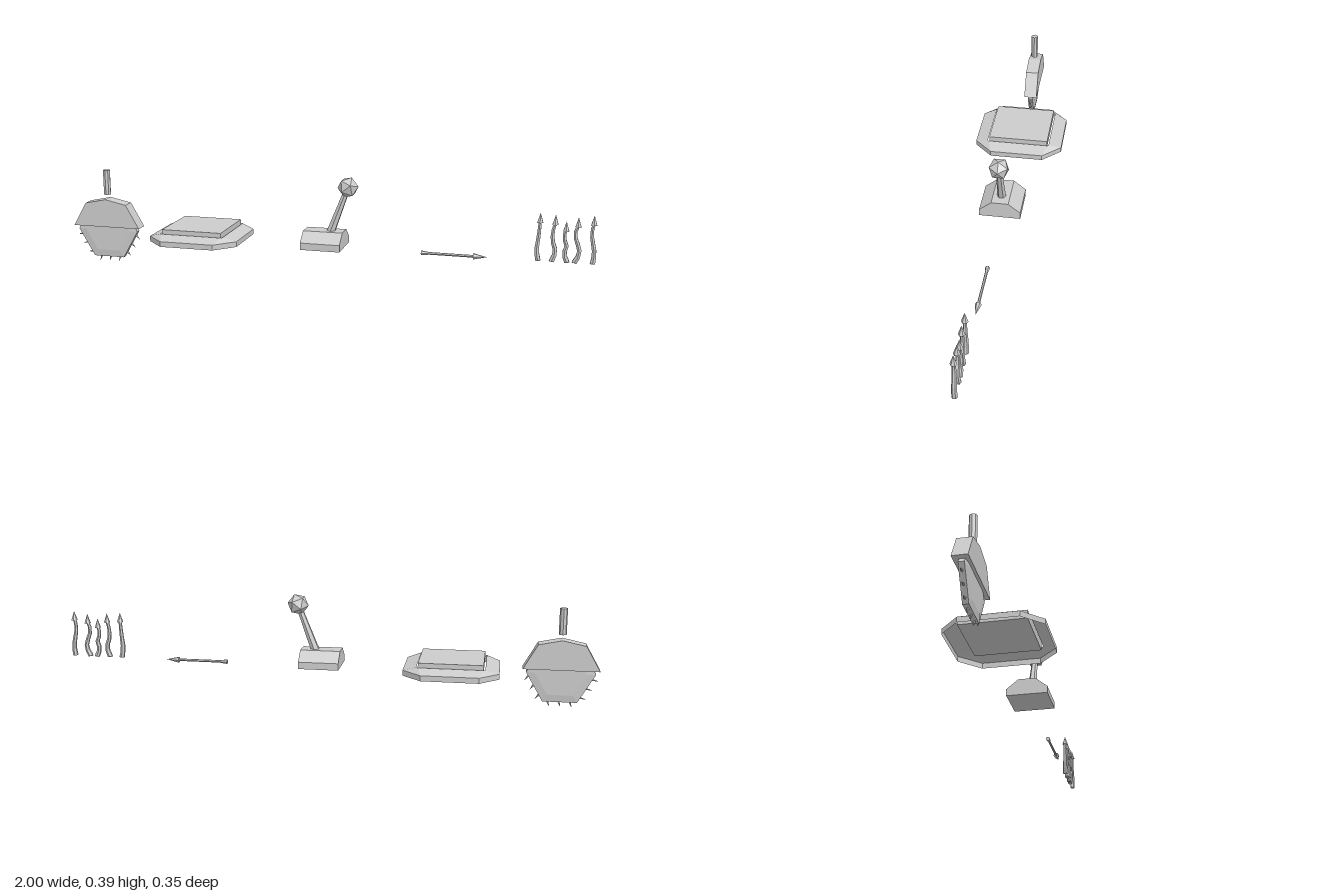
import * as THREE from 'three';

const material = new THREE.MeshStandardMaterial({ color: 0xcccccc, flatShading: true, side: THREE.DoubleSide });

function add(parent, name, geometry, x = 0, y = 0, z = 0) {
  const mesh = new THREE.Mesh(geometry, material);
  mesh.name = name;
  mesh.position.set(x, y, z);
  parent.add(mesh);
  return mesh;
}

function group(parent, name, x, y, z) {
  const g = new THREE.Group();
  g.name = name;
  g.position.set(x, y, z);
  parent.add(g);
  return g;
}

// Extrudes an outline of [x, y] points, centred on its depth
function prism(points, depth) {
  const shape = new THREE.Shape(points.map(([x, y]) => new THREE.Vector2(x, y)));
  return new THREE.ExtrudeGeometry(shape, { depth, bevelEnabled: false }).translate(0, 0, -depth / 2);
}

// Skins matching rings of points into a surface
function loft(rings) {
  const n = rings[0].length;
  const index = [];
  for (let r = 0; r < rings.length - 1; r++) {
    for (let i = 0; i < n; i++) {
      const a = r * n + i, b = r * n + (i + 1) % n;
      index.push(a, a + n, b, b, a + n, b + n);
    }
  }
  const g = new THREE.BufferGeometry();
  g.setAttribute('position', new THREE.Float32BufferAttribute(rings.flat(2), 3));
  g.setIndex(index);
  g.computeVertexNormals();
  return g;
}

function buildSaw(root) {
  const saw = group(root, 'sawTrap', -0.863, 0.135, 0);
  // Hexagonal blade with a bevelled rim
  const profile = [[0, -0.014], [0.093, -0.014], [0.124, -0.01], [0.124, 0.01], [0.093, 0.014], [0, 0.014]];
  const blade = new THREE.LatheGeometry(profile.map(([r, y]) => new THREE.Vector2(r, y)), 6);
  blade.rotateY(Math.PI / 6).rotateX(Math.PI / 2).rotateZ(Math.PI / 6);
  // Turn so that a flat edge points down
  blade.computeBoundingBox();
  if (blade.boundingBox.max.y > 0.115) blade.rotateZ(Math.PI / 6);
  add(saw, 'blade', blade);

  // Teeth on the exposed edges
  for (const edge of [-1, 0, 1]) {
    const angle = -Math.PI / 2 + edge * Math.PI / 3;
    for (const along of [-0.04, 0, 0.04]) {
      const c = Math.cos(angle), s = Math.sin(angle);
      const tooth = add(saw, 'tooth', new THREE.ConeGeometry(0.005, 0.026, 5),
        c * 0.117 - s * along, s * 0.117 + c * along, 0);
      tooth.rotation.z = angle - Math.PI / 2 - 0.35;
    }
  }

  // Guard over the upper half and the rod above it
  add(saw, 'guard', prism([[-0.137, 0.015], [0.137, 0.015], [0.085, 0.107], [0, 0.125], [-0.085, 0.107]], 0.052), 0, 0, -0.002);
  add(saw, 'rod', new THREE.CylinderGeometry(0.014, 0.014, 0.096, 8), 0, 0.19, 0);
}

function buildPlate(root) {
  const plate = group(root, 'pressurePlate', -0.472, 0.127, -0.002);
  // Eight points round a square with cut corners
  const ring = (h, y, cut) => [[h, h - cut], [h - cut, h], [cut - h, h], [-h, h - cut],
    [-h, cut - h], [cut - h, -h], [h - cut, -h], [h, cut - h]].map(([x, z]) => [x, y, z]);
  add(plate, 'frame', loft([ring(0.173, 0, 0.07), ring(0.173, 0.02, 0.07), ring(0.123, 0.036, 0.005)]).toNonIndexed());
  add(plate, 'slab', new THREE.BoxGeometry(0.234, 0.03, 0.234), 0, 0.037, 0);
}

function buildLever(root) {
  const lever = group(root, 'lever', 0.016, 0.127, 0.003);
  const base = prism([[-0.077, 0], [0.077, 0], [0.077, 0.026], [0.032, 0.062], [-0.032, 0.062], [-0.077, 0.026]], 0.15);
  add(lever, 'leverBase', base.rotateY(Math.PI / 2));
  // Leaning stick with a faceted knob
  const stick = group(lever, 'stick', 0.021, 0.05, 0);
  stick.rotation.z = -0.36;
  add(stick, 'shaft', new THREE.CylinderGeometry(0.011, 0.017, 0.18, 6), 0, 0.085, 0);
  const knob = new THREE.IcosahedronGeometry(0.04, 0);
  knob.rotateX(-Math.atan((1 + Math.sqrt(5)) / 2)).rotateY(Math.PI / 2);
  add(stick, 'knob', knob, 0, 0.191, 0);
}

function buildArrow(root) {
  const arrow = group(root, 'arrow', 0.38, 0.125, 0);
  arrow.rotation.z = -Math.PI / 2;
  add(arrow, 'arrowShaft', new THREE.CylinderGeometry(0.005, 0.005, 0.2, 6), 0, 0.1, 0);
  add(arrow, 'arrowHead', new THREE.ConeGeometry(0.012, 0.05, 6), 0, 0.215, 0);
  add(arrow, 'arrowTail', new THREE.CylinderGeometry(0.005, 0.009, 0.03, 6), 0, 0.015, 0);
}

// Wavy tapering stake with a pointed tip
function buildStake(root, x, height, bends) {
  const stake = group(root, 'stake', x, 0.127, 0);
  const stem = height - 0.03;
  const points = bends.map((b, i) => new THREE.Vector3(b, stem * i / (bends.length - 1), 0));
  const curve = new THREE.CatmullRomCurve3(points);
  const steps = 6, sides = 6;
  const tube = new THREE.TubeGeometry(curve, steps, 0.01, sides);
  const p = tube.attributes.position, v = new THREE.Vector3();
  for (let i = 0; i < p.count; i++) {
    const t = Math.floor(i / (sides + 1)) / steps;
    const c = curve.getPointAt(t);
    v.fromBufferAttribute(p, i).sub(c).multiplyScalar(1 - 0.4 * t).add(c);
    p.setXYZ(i, v.x, v.y, v.z);
  }
  add(stake, 'stakeStem', tube);
  add(stake, 'stakeFoot', new THREE.CircleGeometry(0.01, sides).rotateX(Math.PI / 2), bends[0], 0, 0);
  add(stake, 'stakeTip', new THREE.ConeGeometry(0.012, 0.036, 6), bends[bends.length - 1], height - 0.018, 0);
}

export function createModel() {
  const root = new THREE.Group();
  root.name = 'trapSet';
  buildSaw(root);
  buildPlate(root);
  buildLever(root);
  buildArrow(root);
  const stakes = [
    [0.8, 0.174, [0, -0.006, -0.003, 0, 0.002]],
    [0.853, 0.17, [-0.006, 0.006, -0.004, -0.006, 0.002]],
    [0.893, 0.148, [0.008, -0.003, 0.004, -0.006, 0]],
    [0.93, 0.165, [-0.004, 0.012, 0.005, -0.006, 0.004]],
    [0.985, 0.175, [0.004, 0.008, 0.002, -0.004, 0.002]],
  ];
  for (const [x, height, bends] of stakes) buildStake(root, x, height, bends);
  return root;
}
